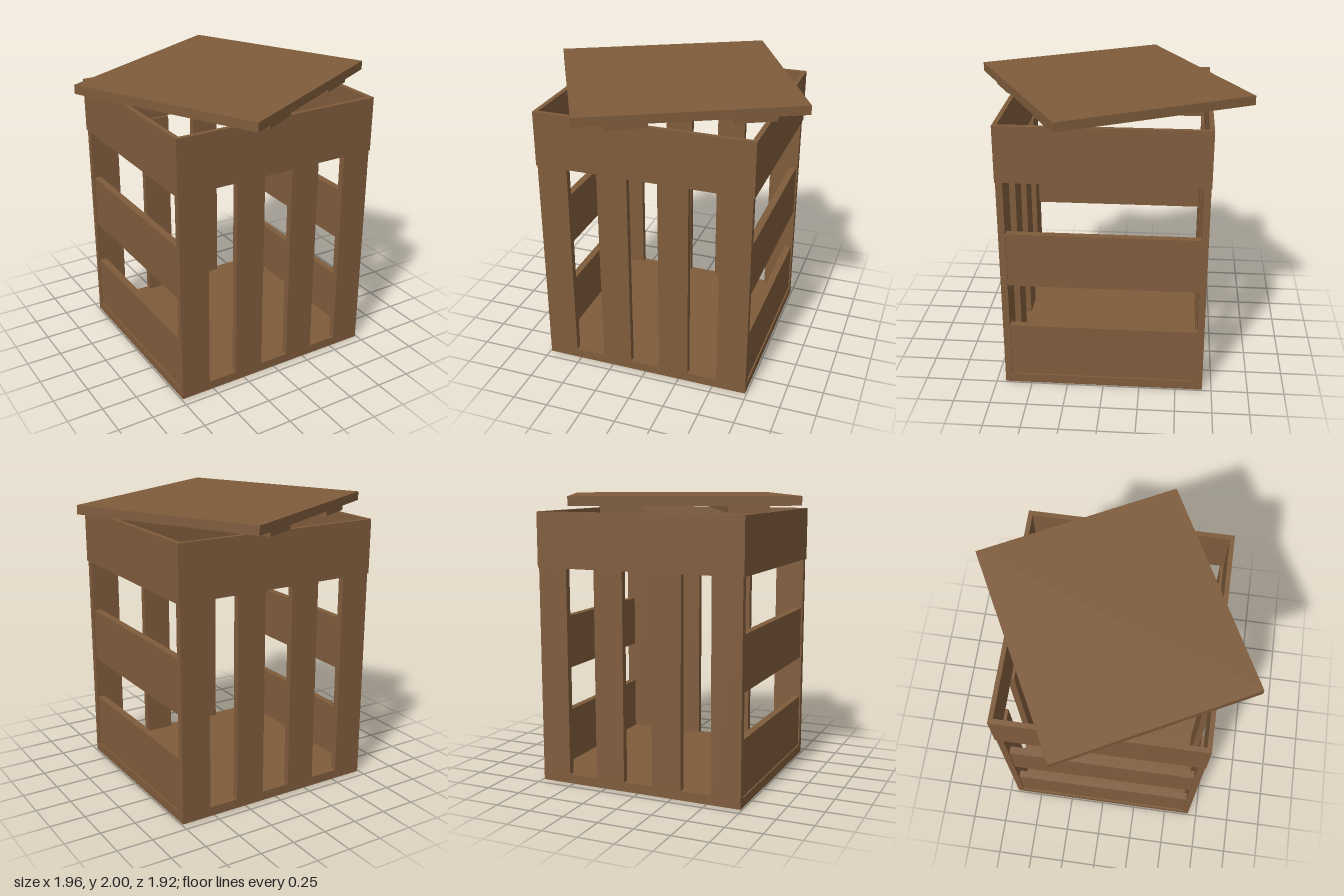
import * as THREE from 'three';

export function createModel() {
  const model = new THREE.Group();
  const wood = new THREE.MeshStandardMaterial({ color: 0x7f5c3c });
  wood.name = 'brown wood';

  // Box given by its size and the middle of its underside
  function board(name, w, h, d, x, y, z, parent = model) {
    const mesh = new THREE.Mesh(new THREE.BoxGeometry(w, h, d), wood);
    mesh.name = name;
    mesh.position.set(x, y + h / 2, z);
    parent.add(mesh);
  }

  // Floor
  board('floor', 1.48, 0.065, 1.372, 0, 0, 0);

  // Four upright slats on the front and back
  for (const [side, z] of [['front', 0.663], ['back', -0.663]]) {
    for (let i = 0; i < 4; i++) {
      board(side + 'Slat', 0.211, 1.445, 0.046, -0.6345 + i * 0.423, 0.065, z);
    }
  }

  // Two horizontal boards on each side, set slightly in
  for (const [side, x] of [['left', 0.705], ['right', -0.705]]) {
    board(side + 'LowerBoard', 0.05, 0.385, 1.28, x, 0.065, 0);
    board(side + 'UpperBoard', 0.05, 0.38, 1.28, x, 0.76, 0);
  }

  // Rim: a rectangular band, open above and below
  const outline = (Type, x, z) => new Type([
    new THREE.Vector2(-x, -z), new THREE.Vector2(x, -z),
    new THREE.Vector2(x, z), new THREE.Vector2(-x, z),
  ]);
  const rimShape = outline(THREE.Shape, 0.748, 0.69);
  rimShape.holes.push(outline(THREE.Path, 0.715, 0.66));
  const rimGeometry = new THREE.ExtrudeGeometry(rimShape, { depth: 0.38, bevelEnabled: false });
  rimGeometry.rotateX(-Math.PI / 2);
  const rim = new THREE.Mesh(rimGeometry, wood);
  rim.name = 'rim';
  rim.position.y = 1.51;
  model.add(rim);

  // Lid, turned askew, with two battens beneath it
  const lid = new THREE.Group();
  lid.name = 'lid';
  lid.rotation.y = THREE.MathUtils.degToRad(27.5);
  board('lidPanel', 1.494, 0.062, 1.382, 0, 1.938, 0, lid);
  for (const s of [-1, 1]) {
    board('lidBatten', 0.272, 0.046, 1.314, s * 0.409, 1.892, 0, lid);
  }
  model.add(lid);

  return model;
}
